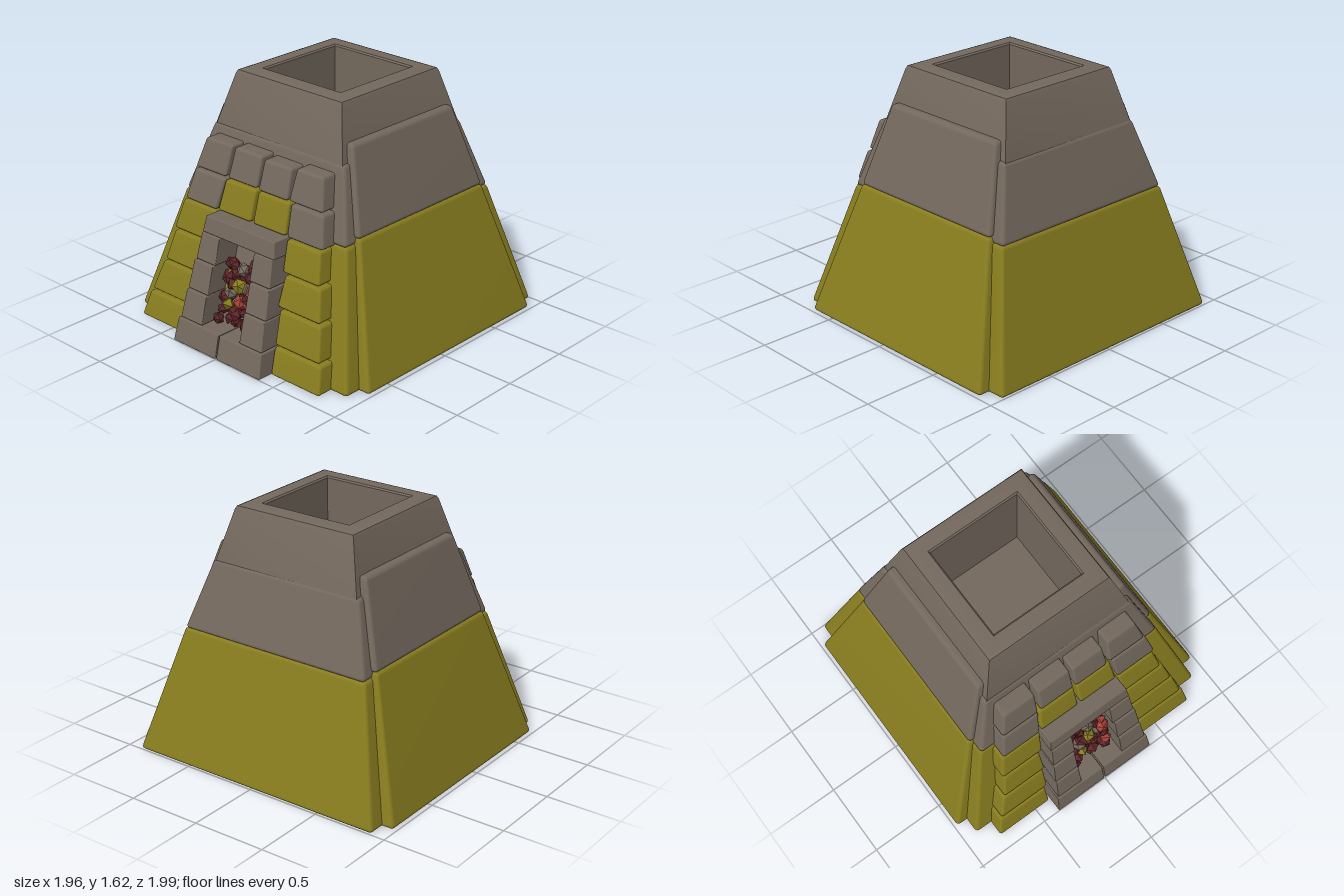
import * as THREE from 'three';
import { mergeVertices, toCreasedNormals } from 'three/addons/utils/BufferGeometryUtils.js';
import { RoundedBoxGeometry } from 'three/addons/geometries/RoundedBoxGeometry.js';

const material = (name, color) => {
  const m = new THREE.MeshStandardMaterial({ color });
  m.name = name;
  return m;
};

// Rounded block whose front leans back: xs = [left bottom, right bottom, left top, right top]
function leaningBlock(xs, y0, y1, z0, z1, depth, r) {
  const [lb, rb, lt, rt] = xs;
  const w = (rb - lb + rt - lt) / 2, h = y1 - y0;
  const g = new RoundedBoxGeometry(w, h, depth, 2, r);
  const p = g.attributes.position;
  for (let i = 0; i < p.count; i++) {
    const u = p.getX(i) / w + 0.5, v = p.getY(i) / h + 0.5;
    const left = lb + (lt - lb) * v, right = rb + (rt - rb) * v;
    p.setXYZ(i, left + (right - left) * u, y0 + h * v, p.getZ(i) - depth / 2 + z0 + (z1 - z0) * v);
  }
  g.deleteAttribute('normal');
  g.deleteAttribute('uv');
  const merged = mergeVertices(g, 1e-5);
  merged.computeVertexNormals();
  return merged;
}

export function createModel() {
  const stone = material('grey stone', 0x73685d);
  const moss = material('olive stone', 0x877c1f);
  const red = material('ember red', 0xa8423a);
  const darkRed = material('dark ember', 0x5e2629);

  const model = new THREE.Group();
  model.name = 'stoneFurnace';
  const add = (parent, name, geometry, mat) => {
    const mesh = new THREE.Mesh(geometry, mat);
    mesh.name = name;
    parent.add(mesh);
    return mesh;
  };

  // Tapered square core with an open chimney shaft
  const body = new THREE.Group();
  body.name = 'body';
  body.position.z = -0.1;
  model.add(body);
  const profile = [[0, 0.005], [0.86, 0.005], [0.87, 0.03], [0.446, 1.59], [0.436, 1.61], [0.415, 1.618],
    [0.33, 1.618], [0.32, 1.608], [0.32, 0.95], [0, 0.95]];
  const core = new THREE.LatheGeometry(
    profile.map(([x, y]) => new THREE.Vector2(x * Math.SQRT2, y)), 4);
  core.rotateY(Math.PI / 4);
  add(body, 'chimneyCore', toCreasedNormals(core, 0.7), stone);

  // Two tiers of cladding panels on all four sides
  const sym = (b, t) => [-b, b, -t, t];
  ['front', 'left', 'back', 'right'].forEach((side, i) => {
    const wall = new THREE.Group();
    wall.name = side + 'Wall';
    wall.rotation.y = i * Math.PI / 2;
    body.add(wall);
    if (i % 2 === 0) {
      add(wall, 'lowerPanel', leaningBlock(sym(0.91, 0.69), 0, 0.825, 0.9, 0.67, 0.16, 0.025), moss);
      add(wall, 'upperPanel', leaningBlock(sym(0.69, 0.55), 0.82, 1.27, 0.675, 0.54, 0.14, 0.025), stone);
    } else {
      add(wall, 'lowerPanel', leaningBlock(sym(0.79, 0.58), 0, 0.86, 0.985, 0.715, 0.16, 0.025), moss);
      add(wall, 'upperPanel', leaningBlock(sym(0.585, 0.465), 0.855, 1.38, 0.715, 0.55, 0.15, 0.025), stone);
    }
  });

  // Facing stones: [material, y0, y1, x corners]
  const facing = new THREE.Group();
  facing.name = 'facingStones';
  model.add(facing);
  const stones = [
    [moss, 0, 0.17, [-0.79, -0.39, -0.75, -0.39]], [moss, 0, 0.17, [0.38, 0.78, 0.37, 0.75]],
    [moss, 0.185, 0.385, [-0.74, -0.37, -0.68, -0.365]], [moss, 0.18, 0.39, [0.37, 0.735, 0.355, 0.69]],
    [moss, 0.395, 0.595, [-0.67, -0.35, -0.63, -0.355]], [moss, 0.4, 0.595, [0.33, 0.68, 0.345, 0.635]],
    [moss, 0.605, 0.8, [-0.64, -0.33, -0.6, -0.31]], [moss, 0.605, 0.8, [0.32, 0.62, 0.305, 0.58]],
    [stone, 0.805, 1.005, [-0.59, -0.31, -0.55, -0.28]], [moss, 0.81, 1.005, [-0.295, -0.01, -0.275, -0.01]],
    [moss, 0.81, 1.005, [0.01, 0.285, 0.01, 0.27]], [stone, 0.81, 1.005, [0.3, 0.595, 0.285, 0.55]],
    [stone, 1.015, 1.21, [-0.55, -0.28, -0.5, -0.27]], [stone, 1.015, 1.21, [-0.26, -0.01, -0.245, -0.01]],
    [stone, 1.01, 1.2, [0.005, 0.25, 0.01, 0.24]], [stone, 1.015, 1.215, [0.26, 0.54, 0.28, 0.495]],
  ];
  const stoneZ = y => 0.905 - 0.285 * y;
  for (const [mat, y0, y1, xs] of stones)
    add(facing, 'facingStone', leaningBlock(xs, y0, y1, stoneZ(y0), stoneZ(y1), 0.17, 0.018), mat);

  // Fireplace surround: hearth, posts and lintel
  const surround = new THREE.Group();
  surround.name = 'fireSurround';
  model.add(surround);
  const surroundZ = y => 1.0 - 0.3 * y;
  const block = (name, xs, y0, y1) =>
    add(surround, name, leaningBlock(xs, y0, y1, surroundZ(y0), surroundZ(y1) + 0.01, 0.3, 0.006), stone);
  for (const s of [-1, 1]) {
    const side = (name, inner, ob, ot, y0, y1) => block(name,
      s < 0 ? [-ob, -inner, -ot, -inner] : [inner, ob, inner, ot], y0, y1);
    side('hearthStone', 0.004, 0.38, 0.365, 0, 0.152);
    side('lowerPost', 0.165, 0.355, 0.34, 0.155, 0.338);
    side('middlePost', 0.162, 0.34, 0.325, 0.342, 0.525);
    side('upperPost', 0.15, 0.32, 0.305, 0.53, 0.7);
  }
  block('lintel', [-0.31, 0.31, -0.295, 0.295], 0.7, 0.805);
  add(surround, 'fireback', leaningBlock(sym(0.17, 0.16), 0.14, 0.72, 0.775, 0.615, 0.08, 0.004), stone);

  // Heap of jagged embers inside the opening
  const embers = new THREE.Group();
  embers.name = 'embers';
  model.add(embers);
  let seed = 11;
  const rnd = () => (seed = (seed * 16807) % 2147483647) / 2147483647;
  const tones = [red, darkRed, red, darkRed, darkRed, red, moss, red, darkRed, stone];
  for (let row = 0; row < 7; row++) {
    for (let col = 0; col < 5; col++) {
      const size = 0.04 + rnd() * 0.018;
      const shape = (row + col) % 2 ? new THREE.OctahedronGeometry(size) : new THREE.IcosahedronGeometry(size);
      const ember = add(embers, 'ember', shape, tones[(row * 5 + col * 3 + Math.floor(rnd() * 4)) % tones.length]);
      const y = 0.185 + row * 0.058 + (rnd() - 0.5) * 0.03;
      ember.position.set(-0.12 + col * 0.06 + (rnd() - 0.5) * 0.03, y, 0.865 - 0.27 * y + (rnd() - 0.5) * 0.06);
      ember.rotation.set(rnd() * 6, rnd() * 6, rnd() * 6);
      ember.scale.set(1, 0.7 + rnd() * 0.5, 0.9);
    }
  }
  return model;
}
